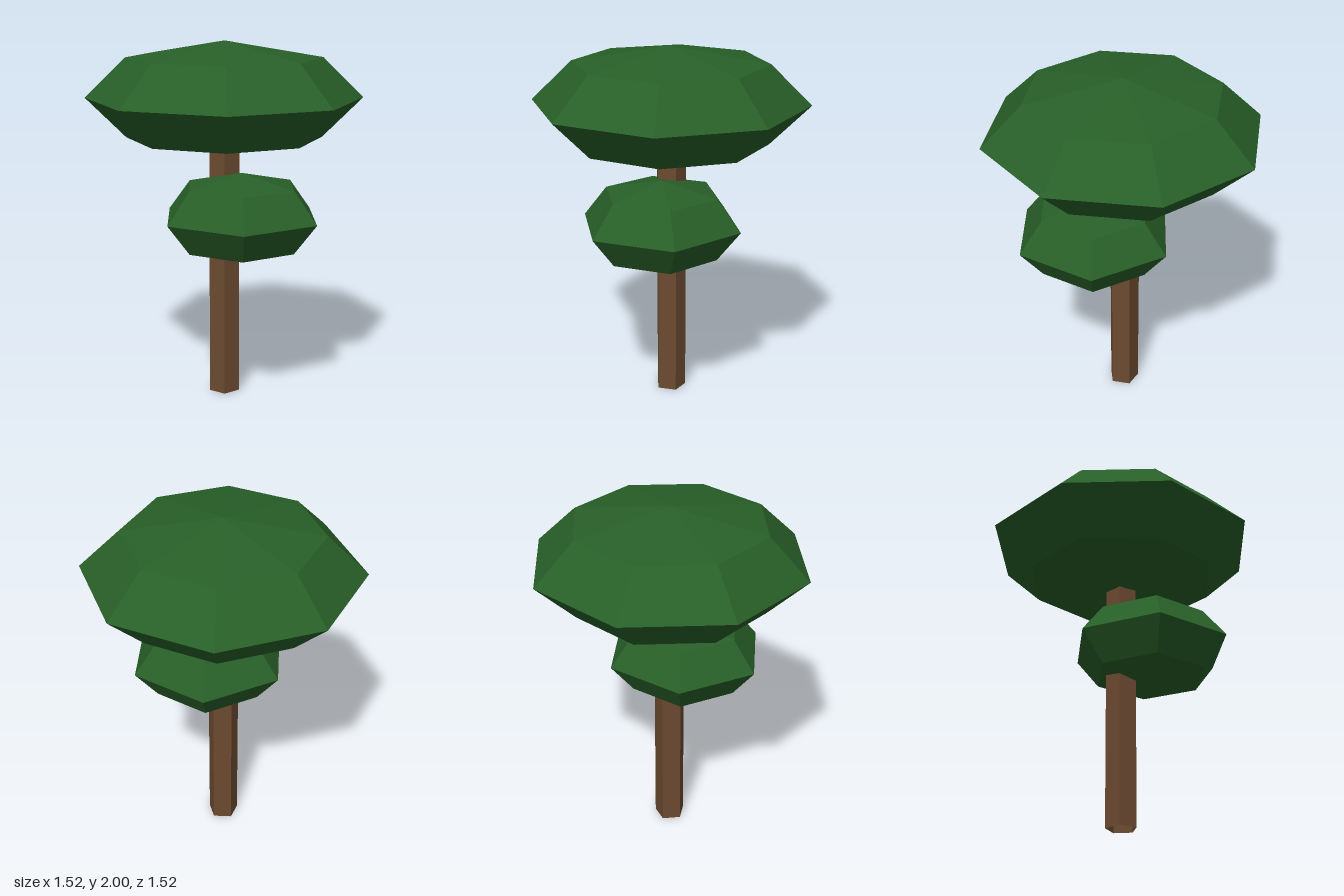
import * as THREE from 'three';

export function createModel() {
  const leaf = new THREE.MeshStandardMaterial({ color: 0x285f28, flatShading: true });
  leaf.name = 'leaf green';
  const bark = new THREE.MeshStandardMaterial({ color: 0x6b4a30, flatShading: true, side: THREE.DoubleSide });
  bark.name = 'bark brown';

  const tree = new THREE.Group();
  tree.name = 'tree';

  // Five-sided trunk, open at the ends, running up into the crown
  const trunkHeight = 1.6;
  const trunk = new THREE.Mesh(
    new THREE.CylinderGeometry(0.0875, 0.0875, trunkHeight, 5, 1, true), bark);
  trunk.name = 'trunk';
  trunk.position.y = trunkHeight / 2;
  tree.add(trunk);

  // Flattened low-poly foliage clump with a corner facing the front
  function addFoliage(name, sides, radius, halfHeight, x, y, z) {
    const geometry = new THREE.SphereGeometry(radius, sides, 4);
    geometry.rotateY(Math.PI / 2);
    geometry.scale(1, halfHeight / radius, 1);
    const mesh = new THREE.Mesh(geometry, leaf);
    mesh.name = name;
    mesh.position.set(x, y, z);
    tree.add(mesh);
  }
  addFoliage('crown', 8, 0.762, 0.309, 0, 1.691, 0);
  addFoliage('lowerFoliage', 6, 0.457, 0.244, 0.088, 1.054, 0.137);

  return tree;
}
